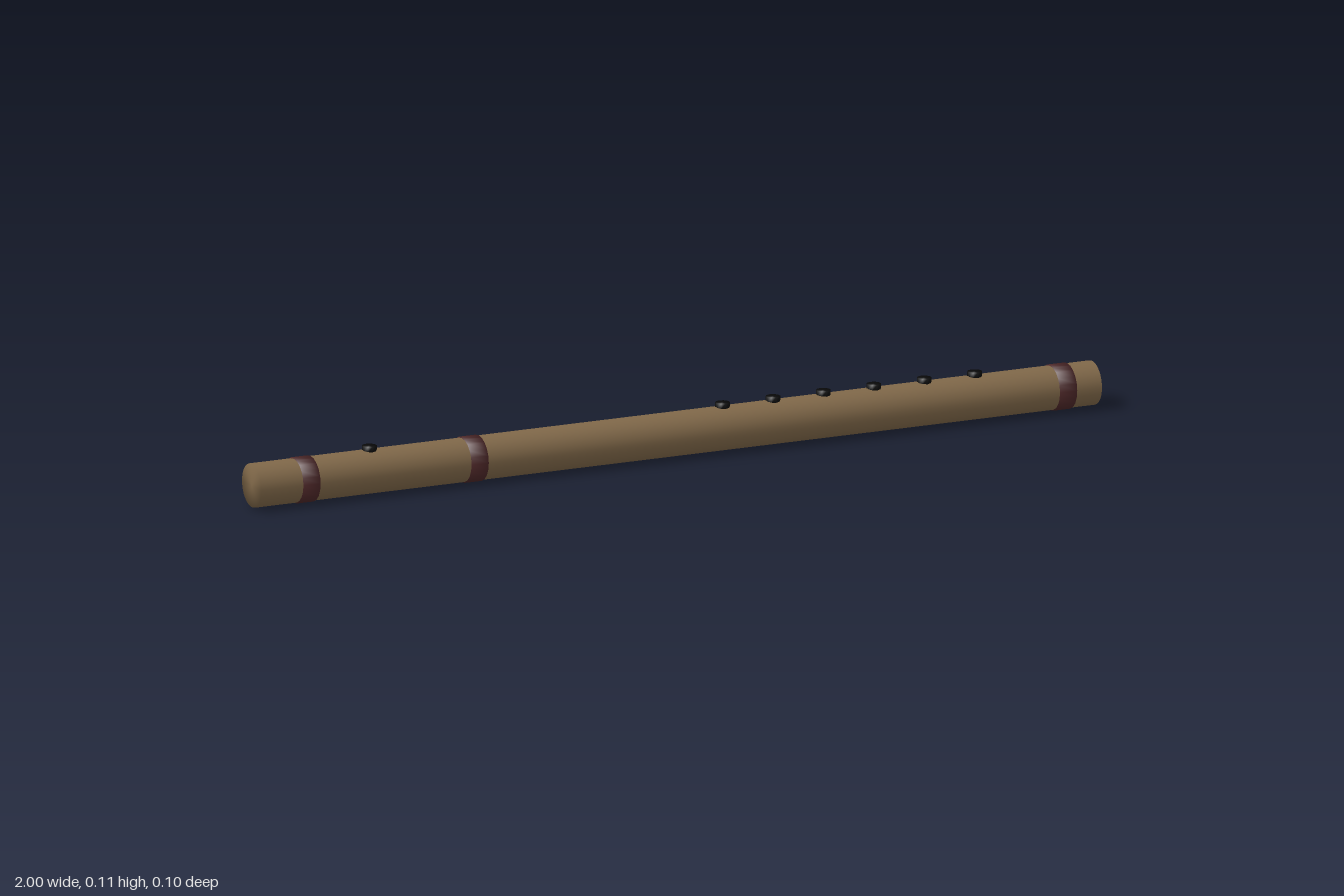
import * as THREE from 'three';
import { mergeVertices } from 'three/addons/utils/BufferGeometryUtils.js';

const wood = new THREE.MeshStandardMaterial({ name: 'bamboo brown', color: 0x806849 });
const wrap = new THREE.MeshStandardMaterial({ name: 'dark red binding', color: 0x4a2526 });
const black = new THREE.MeshStandardMaterial({ name: 'hole black', color: 0x0a0a0a });

const AXIS_Y = 0.05;

// Cylinder whose rim normals are shared with its caps, for softly shaded ends
function softCylinder(radius, length, sides) {
  const g = new THREE.CylinderGeometry(radius, radius, length, sides);
  g.deleteAttribute('normal');
  g.deleteAttribute('uv');
  const merged = mergeVertices(g);
  merged.computeVertexNormals();
  return merged;
}

export function createModel() {
  const flute = new THREE.Group();
  flute.name = 'flute';

  const add = (name, geometry, material, x, y) => {
    const mesh = new THREE.Mesh(geometry, material);
    mesh.name = name;
    mesh.position.set(x, y, 0);
    flute.add(mesh);
  };

  // Long tube lying along x
  add('tube', softCylinder(0.048, 2, 20).rotateZ(-Math.PI / 2), wood, 0, AXIS_Y);

  // Binding rings
  const ring = softCylinder(0.05, 0.04, 20).rotateZ(-Math.PI / 2);
  [-0.88, -0.48, 0.92].forEach((x, i) => add(`binding${i + 1}`, ring, wrap, x, AXIS_Y));

  // Mouth hole and six finger holes along the top
  const hole = softCylinder(0.016, 0.012, 10);
  add('mouthHole', hole, black, -0.72, 0.101);
  for (let i = 0; i < 6; i++) add(`fingerHole${i + 1}`, hole, black, 0.12 + i * 0.12, 0.101);

  return flute;
}
